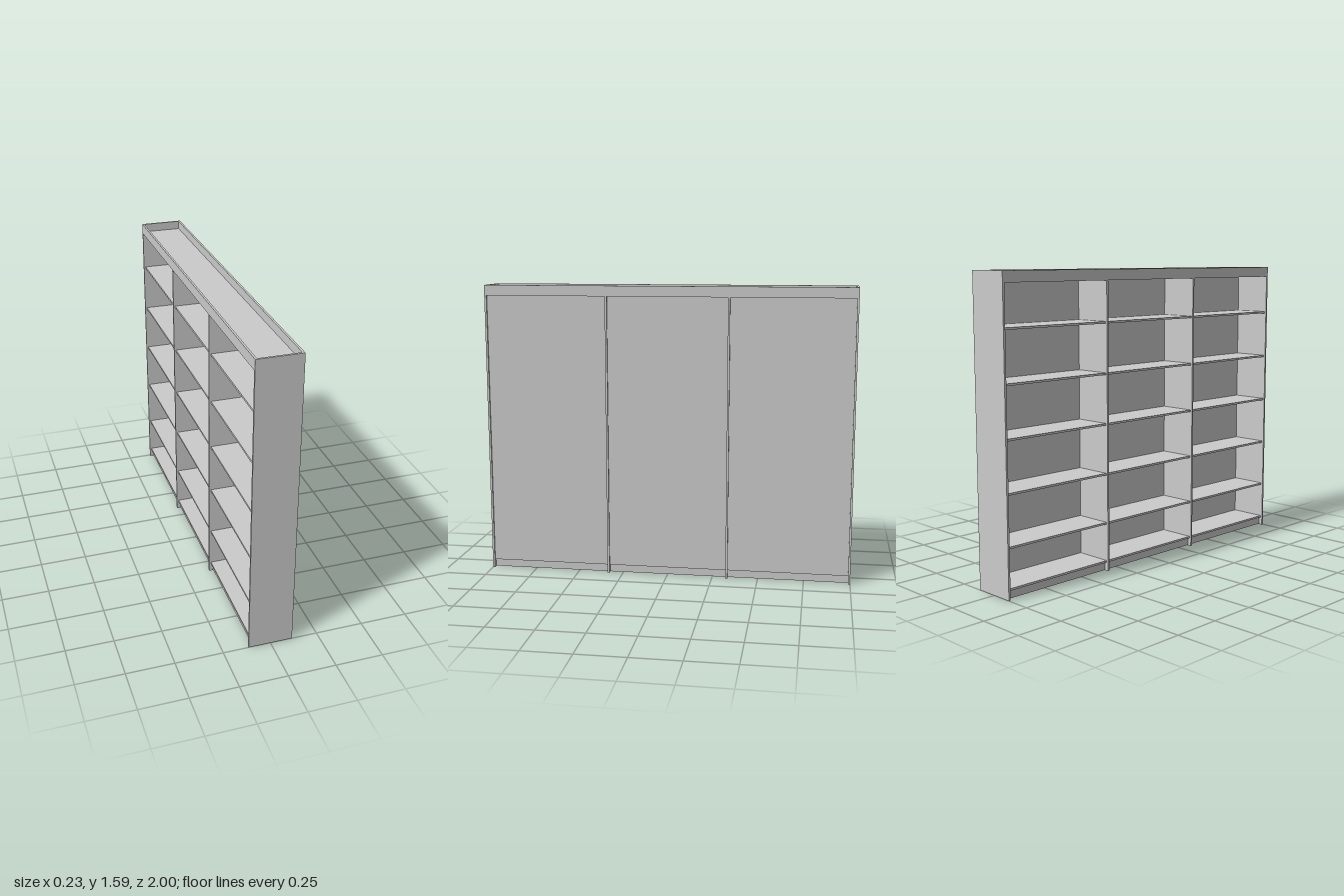
import * as THREE from 'three';

const H = 1.59;   // height
const X = 0.116;  // half depth
const T = 0.011;  // board thickness

export function createModel() {
  const model = new THREE.Group();
  const material = new THREE.MeshStandardMaterial({ color: 0xcccccc });

  // board spanning the given ranges on each axis
  const board = (name, x0, x1, y0, y1, z0, z1) => {
    const mesh = new THREE.Mesh(new THREE.BoxGeometry(x1 - x0, y1 - y0, z1 - z0), material);
    mesh.name = name;
    mesh.position.set((x0 + x1) / 2, (y0 + y1) / 2, (z0 + z1) / 2);
    model.add(mesh);
  };

  const railBottom = H - 0.056;
  const plinthTop = 0.045;
  const inset = X - 0.01;

  // full-height end panels and top rails forming a raised rim
  for (const s of [-1, 1]) {
    const z = s * (1 - T / 2);
    board('endPanel', -X, X, 0, H, z - T / 2, z + T / 2);
    const x = s * (X - T / 2);
    board('topRail', x - T / 2, x + T / 2, railBottom, H, -1 + T, 1 - T);
  }

  // recessed top
  board('topPanel', -X + T, X - T, railBottom, railBottom + T, -1 + T, 1 - T);

  // uprights between the bays
  for (const z of [-0.33, 0.33])
    board('divider', -X, X, 0, railBottom, z - T / 2, z + T / 2);

  // three bays, open towards -x
  const edges = [[-1 + T, -0.33 - T / 2], [-0.33 + T / 2, 0.33 - T / 2], [0.33 + T / 2, 1 - T]];
  for (const [z0, z1] of edges) {
    board('backPanel', inset - 0.008, inset, plinthTop, railBottom, z0, z1);
    board('plinth', -X + 0.022, X - 0.022, 0.002, plinthTop, z0, z1);
    board('bottomShelf', -inset, inset - 0.008, plinthTop, plinthTop + T, z0, z1);
    for (let i = 1; i <= 5; i++) {
      const top = i * H / 6;
      board('shelf', -inset, inset - 0.008, top - T, top, z0, z1);
    }
  }
  return model;
}
